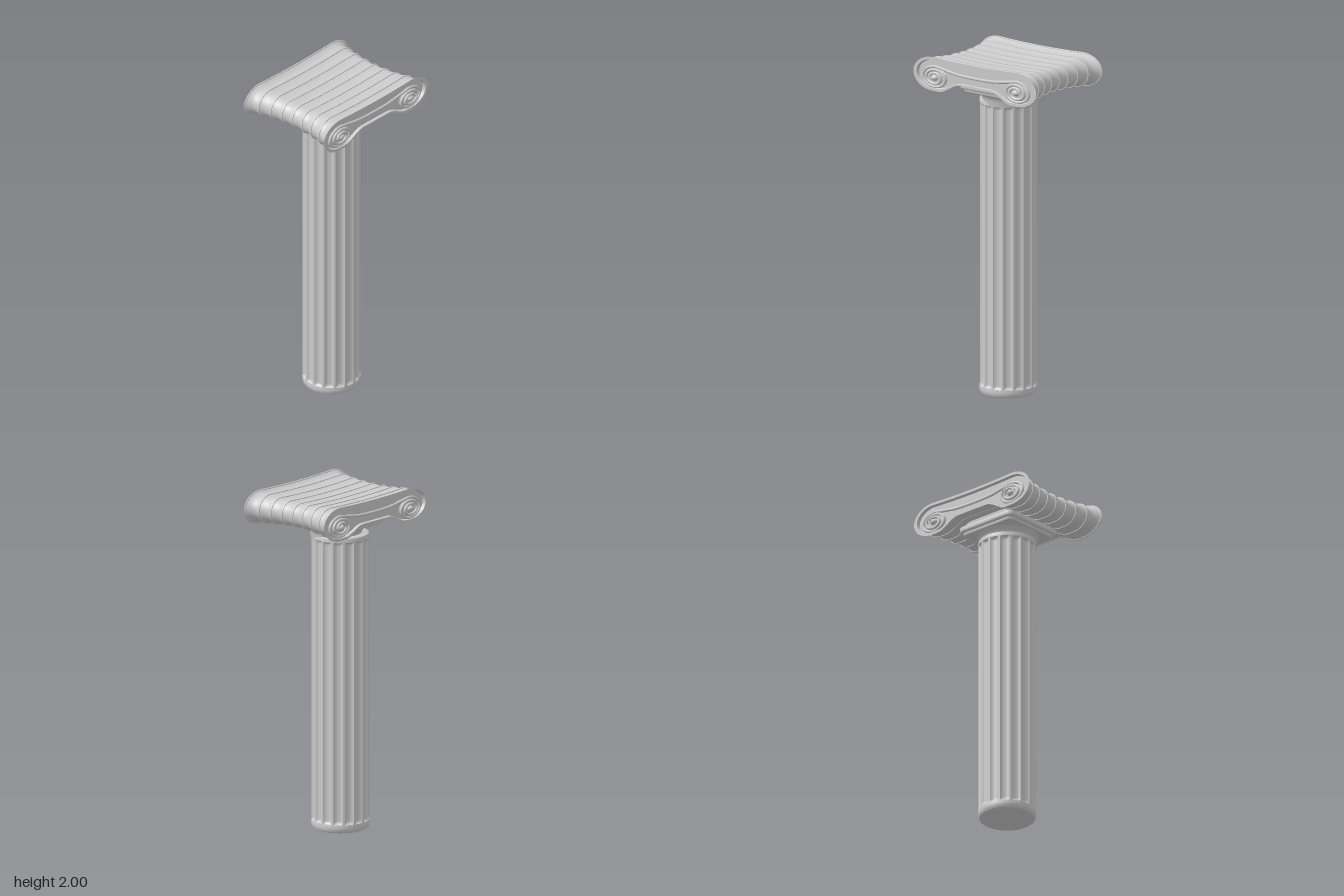
import * as THREE from 'three';
import { toCreasedNormals } from 'three/addons/utils/BufferGeometryUtils.js';

const mat = new THREE.MeshStandardMaterial({ color: 0xcccccc, side: THREE.DoubleSide });

function add(parent, name, geometry) {
  const mesh = new THREE.Mesh(geometry, mat);
  mesh.name = name;
  parent.add(mesh);
  return mesh;
}

// Skin over closed rings of [x, y, z] points, with a fan cap at each end
function loft(rings, startCentre, endCentre, crease = 0.6) {
  const n = rings[0].length, m = rings.length, idx = [];
  const pos = [...rings.flat(), startCentre, endCentre].flat();
  for (let i = 0; i < m - 1; i++) {
    for (let j = 0; j < n; j++) {
      const k = (j + 1) % n;
      const a = i * n + j, b = i * n + k, c = a + n, d = b + n;
      idx.push(a, b, d, a, d, c);
    }
  }
  for (let j = 0; j < n; j++) {
    const k = (j + 1) % n, last = (m - 1) * n;
    idx.push(m * n, k, j, m * n + 1, last + j, last + k);
  }
  const g = new THREE.BufferGeometry();
  g.setAttribute('position', new THREE.Float32BufferAttribute(pos, 3));
  g.setIndex(idx);
  return toCreasedNormals(g, crease);
}

// Round shaft with sunk flutes that stop short of both ends
function shaftGeometry() {
  const flutes = 16, per = 12, low = 0.05, high = 1.72;
  const rows = [[0, 0.15], [0.006, 0.16], [0.018, 0.167], [0.035, 0.168], [low, 0.166]];
  for (const d of [0.003, 0.008, 0.015, 0.025]) rows.push([low + d, 0.166]);
  for (let i = 1; i < 8; i++) rows.push([low + (high - low) * i / 8, 0.166]);
  for (const d of [0.025, 0.015, 0.008, 0.003, 0]) rows.push([high - d, 0.166]);
  rows.push([1.735, 0.166], [1.744, 0.163], [1.748, 0.155]);
  const rings = rows.map(([y, r]) => {
    const ring = [];
    const end = Math.min(y - low, high - y);
    for (let j = 0; j < flutes * per; j++) {
      const a = j / (flutes * per) * Math.PI * 2;
      const u = Math.abs((j % per) / per - 0.5) / 0.36;   // 0 mid-flute, 1 at its edge
      const reach = THREE.MathUtils.clamp(end / 0.012, 0, 1);
      const cut = u < 1 ? 0.014 * Math.pow(1 - u * u, 0.35) * Math.sqrt(reach) : 0;
      ring.push([(r - cut) * Math.cos(a), y, -(r - cut) * Math.sin(a)]);
    }
    return ring;
  });
  return loft(rings, [0, 0, 0], [0, 1.748, 0], 0.5);
}

// Cross-section of the scrolled cushion at one x
const EYE = 0.305, MID = 1.9;
function cushionRing(x, rz, ry) {
  const ring = [];
  for (let i = 0; i < 14; i++) {
    const z = -EYE + 2 * EYE * i / 14;
    ring.push([x, MID + ry - 0.008 * (1 - (z / EYE) ** 2), z]);
  }
  for (let i = 0; i < 18; i++) {
    const a = Math.PI / 2 - Math.PI * i / 18;
    ring.push([x, MID + ry * Math.sin(a), EYE + rz * Math.cos(a)]);
  }
  for (let i = 0; i < 28; i++) {
    const z = EYE - 2 * EYE * i / 28;
    const lift = 0.6 * (1 - THREE.MathUtils.smoothstep(Math.abs(z), 0.11, 0.26));
    ring.push([x, MID - ry * (1 - lift), z]);
  }
  for (let i = 0; i < 18; i++) {
    const a = -Math.PI / 2 - Math.PI * i / 18;
    ring.push([x, MID + ry * Math.sin(a), -EYE + rz * Math.cos(a)]);
  }
  return ring;
}

// Cushion: eight hollow bays between thin ridges, flaring towards both ends
function cushionGeometry() {
  const half = 0.31, bay = half / 4;
  const RZ = [0.07, 0.074, 0.083, 0.1, 0.136], RY = [0.07, 0.072, 0.077, 0.085, 0.096];
  const side = [];
  for (let k = 0; k < 4; k++) {
    for (const t of [0, 0.07, 0.075, 0.2, 0.35, 0.5, 0.65, 0.8, 0.925, 0.93, 1]) {
      if (t === 0 && k > 0) continue;
      const lip = t <= 0.07 || t >= 0.93 ? 0.004 : 0;
      const scoop = (k === 3 ? 0.014 : 0.007) * Math.sin(Math.PI * t);
      const rz = THREE.MathUtils.lerp(RZ[k], RZ[k + 1], t) + lip - scoop;
      const ry = THREE.MathUtils.lerp(RY[k], RY[k + 1], t) + lip - scoop * 0.8;
      side.push([(k + t) * bay, rz, ry]);
    }
  }
  // Rim and sunk end face
  side.push([half, 0.118, 0.084], [0.292, 0.112, 0.079]);
  const all = [...side.slice(1).reverse().map(([x, a, b]) => [-x, a, b]), ...side];
  return loft(all.map((s) => cushionRing(...s)), [-0.292, 1.915, 0], [0.292, 1.915, 0], 0.55);
}

// Raised band that coils into a volute at each end of a face
function scrollBand() {
  const pts = [], turns = 2.25, steps = 54;
  for (let i = 0; i <= steps; i++) {
    const f = i / steps;                       // 0 at the eye, 1 at the outside
    const a = Math.PI / 2 - (1 - f) * turns * Math.PI * 2;
    const rz = 0.03 + 0.065 * f, ry = 0.023 + 0.04 * f;
    pts.push(new THREE.Vector3(0.31 - 0.014 * f, 1.879 + ry * Math.sin(a), 0.295 + rz * Math.cos(a)));
  }
  pts.push(new THREE.Vector3(0.295, 1.93, 0.22), new THREE.Vector3(0.294, 1.917, 0.13));
  const mirrored = pts.map((p) => new THREE.Vector3(p.x, p.y, -p.z)).reverse();
  const path = new THREE.CatmullRomCurve3([...pts, new THREE.Vector3(0.294, 1.913, 0), ...mirrored]);
  return new THREE.TubeGeometry(path, 320, 0.009, 8);
}

// Rounded square slab with a moulded edge
function slab(half, y, height, bevel) {
  const s = new THREE.Shape(), h = half - bevel, r = 0.035;
  s.moveTo(-h + r, -h);
  for (const [x, z] of [[1, -1], [1, 1], [-1, 1], [-1, -1]]) {
    const along = x * z < 0;                   // corner reached moving along x
    s.lineTo(along ? x * (h - r) : x * h, along ? z * h : z * (h - r));
    s.quadraticCurveTo(x * h, z * h, along ? x * h : x * (h - r), along ? z * (h - r) : z * h);
  }
  const g = new THREE.ExtrudeGeometry(s, {
    depth: height - 2 * bevel, bevelEnabled: true, bevelSize: bevel,
    bevelThickness: bevel, bevelSegments: 4, curveSegments: 8,
  });
  g.rotateX(-Math.PI / 2);
  g.translate(0, y + bevel, 0);
  return toCreasedNormals(g, 0.6);
}

export function createModel() {
  const model = new THREE.Group();
  model.name = 'ionicColumn';

  add(model, 'flutedShaft', shaftGeometry()).position.set(-0.023, 0, 0.012);

  // Capital, turned slightly against the shaft
  const capital = new THREE.Group();
  capital.name = 'capital';
  capital.rotation.y = -0.066;
  model.add(capital);

  const neck = [[0.145, 1.72], [0.15, 1.75], [0.154, 1.765], [0.163, 1.778], [0.178, 1.788], [0.185, 1.8], [0, 1.8]];
  add(capital, 'neck', toCreasedNormals(
    new THREE.LatheGeometry(neck.map(([x, y]) => new THREE.Vector2(x, y)), 64), 0.6));
  add(capital, 'lowerSlab', slab(0.192, 1.79, 0.03, 0.01));
  add(capital, 'upperSlab', slab(0.207, 1.808, 0.038, 0.012));
  add(capital, 'slabCore', slab(0.185, 1.83, 0.06, 0.005));
  add(capital, 'scrolledCushion', cushionGeometry());

  // Both volute faces
  const band = scrollBand();
  for (const turn of [0, Math.PI]) {
    const face = new THREE.Group();
    face.name = turn ? 'rightVolutes' : 'leftVolutes';
    face.rotation.y = turn;
    capital.add(face);
    add(face, 'scrollBand', band);
    for (const z of [-0.295, 0.295]) {
      const eye = add(face, 'voluteEye', new THREE.SphereGeometry(1, 24, 16));
      eye.position.set(0.3, 1.879, z);
      eye.scale.set(0.024, 0.019, 0.025);
      const boss = add(face, 'voluteBoss', new THREE.SphereGeometry(1, 32, 16));
      boss.position.set(0.29, 1.879, z);
      boss.scale.set(0.016, 0.056, 0.085);
    }
  }
  return model;
}
